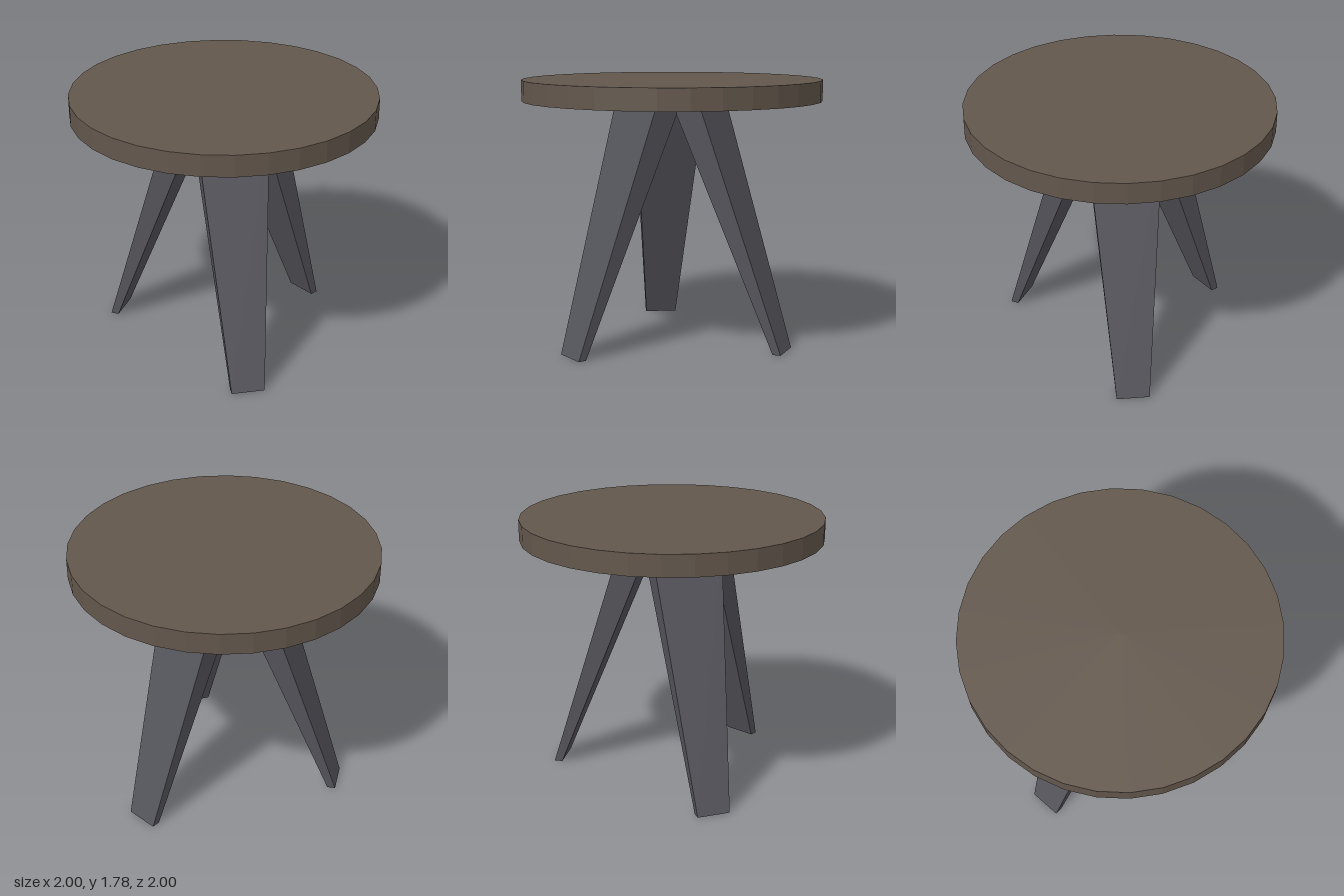
import * as THREE from 'three';

const wood = new THREE.MeshStandardMaterial({ name: 'darkWood', color: 0x63574c, flatShading: true });
const metal = new THREE.MeshStandardMaterial({ name: 'charcoalLegs', color: 0x55555c, flatShading: true });

const TOP_Y = 1.645, TOP_THICKNESS = 0.14;

// Splayed leg pointing along +x: side profile extruded, then widened towards the top
function legGeometry() {
  const profile = new THREE.Shape([
    [0.77, 0], [0.825, 0], [0.305, 1.605], [0.257, TOP_Y], [0.101, TOP_Y],
  ].map(([r, y]) => new THREE.Vector2(r, y)));
  const geometry = new THREE.ExtrudeGeometry(profile, { depth: 2, bevelEnabled: false });
  geometry.translate(0, 0, -1);
  const p = geometry.attributes.position;
  for (let i = 0; i < p.count; i++) {
    p.setZ(i, p.getZ(i) * (0.11 + 0.0777 * p.getY(i)));
  }
  geometry.computeVertexNormals();
  return geometry;
}

export function createModel() {
  const model = new THREE.Group();
  model.name = 'roundTable';

  // Round faceted top
  const top = new THREE.Mesh(new THREE.CylinderGeometry(1, 1, TOP_THICKNESS, 32), wood);
  top.name = 'tableTop';
  top.position.y = TOP_Y + TOP_THICKNESS / 2;
  model.add(top);

  // Three legs meeting under the top
  const geometry = legGeometry();
  ['backRight', 'right', 'frontRight'].forEach((_, i) => {
    const leg = new THREE.Mesh(geometry, metal);
    leg.name = ['frontLeg', 'rightLeg', 'backLeg'][i];
    leg.rotation.y = -Math.PI / 3 + i * -2 * Math.PI / 3;
    model.add(leg);
  });

  return model;
}
